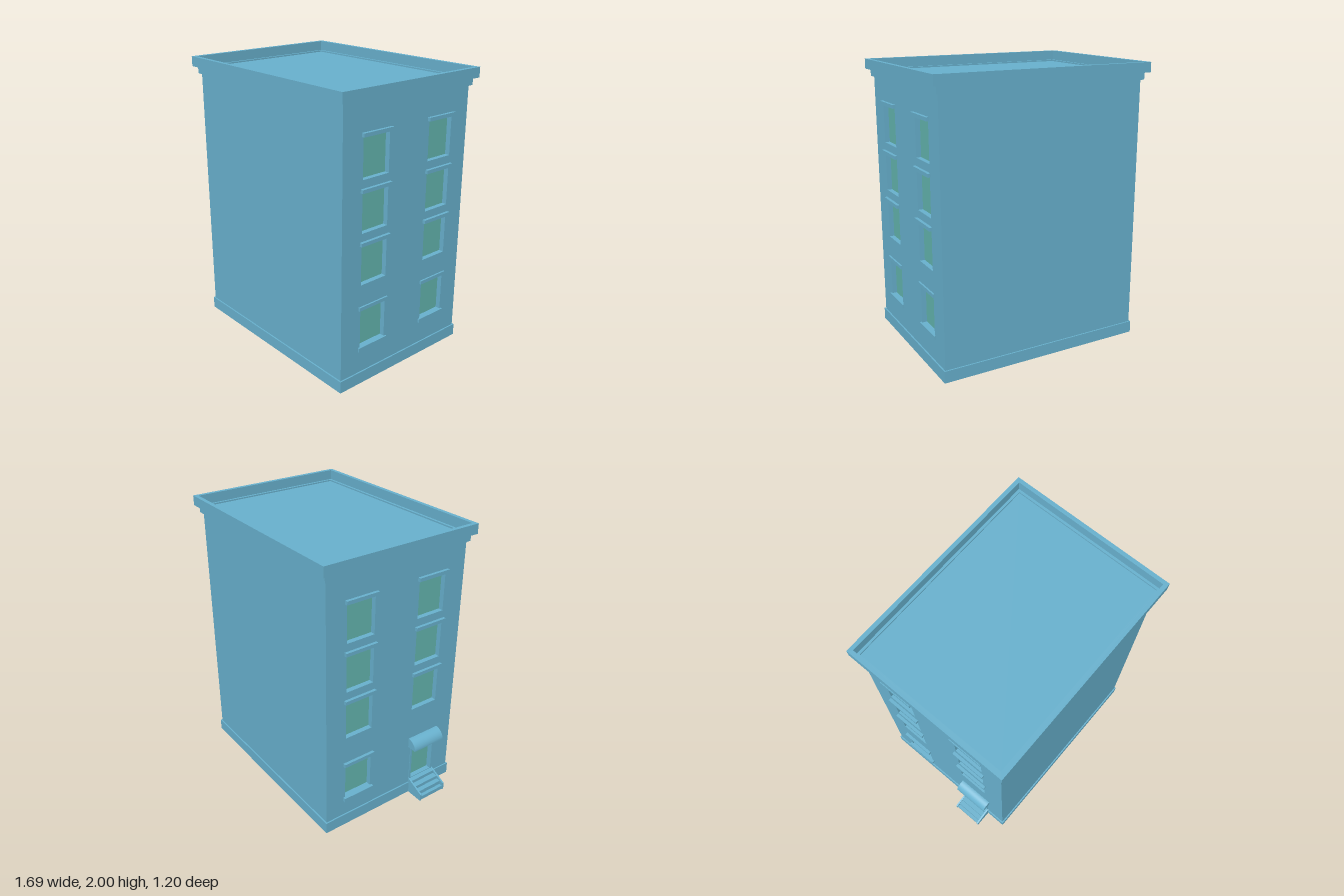
import * as THREE from 'three';

const X0 = -0.705, X1 = 0.795, Z = 0.555, TOP = 1.92, RECESS = 0.035;

export function createModel() {
  const model = new THREE.Group();
  model.name = 'townBuilding';
  const wall = new THREE.MeshStandardMaterial({ color: 0x68b1ce, side: THREE.DoubleSide });
  wall.name = 'blueWall';
  const glass = new THREE.MeshStandardMaterial({ color: 0x63b5ae, side: THREE.DoubleSide });
  glass.name = 'greenGlass';

  const add = (name, geometry, material = wall) => {
    const mesh = new THREE.Mesh(geometry, material);
    mesh.name = name;
    model.add(mesh);
    return mesh;
  };
  // Box given by its limits on each axis
  const box = (name, x0, x1, y0, y1, z0, z1, material) => {
    const mesh = add(name, new THREE.BoxGeometry(Math.abs(x1 - x0), y1 - y0, z1 - z0), material);
    mesh.position.set((x0 + x1) / 2, (y0 + y1) / 2, (z0 + z1) / 2);
    return mesh;
  };
  const rect = (T, x0, x1, y0, y1) => {
    const p = new T();
    p.moveTo(x0, y0).lineTo(x1, y0).lineTo(x1, y1).lineTo(x0, y1).closePath();
    return p;
  };
  // Rectangular band around the building; outer and inner are offsets from the walls
  const band = (name, outer, inner, y0, y1) => {
    const shape = rect(THREE.Shape, X0 - outer, X1 + outer, -Z - outer, Z + outer);
    shape.holes.push(rect(THREE.Path, X0 - inner, X1 + inner, -Z - inner, Z + inner));
    const g = new THREE.ExtrudeGeometry(shape, { depth: y1 - y0, bevelEnabled: false });
    g.rotateX(-Math.PI / 2).translate(0, y0, 0);
    add(name, g);
  };

  // Plain walls and flat roof
  for (const s of [1, -1]) {
    const g = new THREE.PlaneGeometry(X1 - X0, TOP);
    if (s < 0) g.rotateY(Math.PI);
    add(s > 0 ? 'frontWall' : 'backWall', g).position.set((X0 + X1) / 2, TOP / 2, s * Z);
  }
  const roof = new THREE.PlaneGeometry(X1 - X0, 2 * Z).rotateX(-Math.PI / 2);
  add('roof', roof).position.set((X0 + X1) / 2, TOP, 0);

  // Plinth and stepped cornice
  band('plinth', 0.01, 0, 0, 0.085);
  band('lowerCornice', 0.018, 0, 1.88, 1.93);
  band('upperCornice', 0.047, 0.018, 1.93, 2);

  // Opening: recessed pane with four reveals
  const opening = (name, x, s, o) => {
    const g = new THREE.BoxGeometry(o.z1 - o.z0, o.y1 - o.y0, RECESS);
    g.setIndex(Array.from(g.index.array).slice(0, 24));
    g.clearGroups();
    g.rotateY(Math.PI / 2);
    add(name + 'Reveal', g).position.set(x - s * RECESS / 2, (o.y0 + o.y1) / 2, (o.z0 + o.z1) / 2);
    const pane = new THREE.PlaneGeometry(o.z1 - o.z0, o.y1 - o.y0).rotateY(s * Math.PI / 2);
    add(name + 'Pane', pane, glass).position.set(x - s * RECESS, (o.y0 + o.y1) / 2, (o.z0 + o.z1) / 2);
  };

  // Window walls, one at each end
  const door = { z0: 0.195, z1: 0.39, y0: 0.115, y1: 0.41 };
  const columns = [[0.17, 0.39], [-0.4, -0.185]];
  const floors = [[1.43, 1.7], [1.08, 1.35], [0.725, 1]];
  for (const s of [1, -1]) {
    const x = s > 0 ? X1 : X0;
    const ground = s > 0 ? [0.27, 0.547] : [0.232, 0.502];
    const shape = rect(THREE.Shape, -Z, Z, 0, TOP);
    const cut = o => shape.holes.push(rect(THREE.Path, -o.z1, -o.z0, o.y0, o.y1));

    columns.forEach(([z0, z1], c) => {
      [...floors, ground].forEach(([y0, y1], f) => {
        const isGround = f === 3;
        if (isGround && s < 0 && c === 0) return; // the door takes this place
        const o = { z0, z1, y0, y1 };
        cut(o);
        opening('window', x, s, o);
        const out = x + s * (isGround && s > 0 ? 0.012 : 0.021);
        const inside = x - s * RECESS;
        box('lintel', inside, out, y1, y1 + 0.025, z0 - 0.016, z1 + 0.016);
        if (isGround) box('sill', inside, out, y0 - 0.026, y0 + 0.003, z0 - 0.016, z1 + 0.016);
      });
    });
    if (s < 0) {
      cut(door);
      opening('door', x, s, door);
    }
    add(s > 0 ? 'leftWall' : 'rightWall', new THREE.ShapeGeometry(shape).rotateY(Math.PI / 2)).position.x = x;
  }

  // Door frame
  for (const [z0, z1] of [[0.18, 0.195], [0.39, 0.405]])
    box('doorJamb', X0 - 0.006, X0, 0.115, 0.41, z0, z1);

  // Quarter-round canopy over the door
  const quarter = new THREE.Shape();
  quarter.moveTo(0, 0).lineTo(0, 0.073);
  quarter.absarc(0, 0, 0.073, Math.PI / 2, Math.PI, false);
  quarter.closePath();
  const canopy = new THREE.ExtrudeGeometry(quarter, { depth: 0.265, bevelEnabled: false, curveSegments: 12 });
  add('doorCanopy', canopy).position.set(X0, 0.41, 0.16);

  // Steps between sloping cheeks
  const cheek = new THREE.Shape();
  cheek.moveTo(-0.845, 0).lineTo(X0, 0).lineTo(X0, 0.12).lineTo(-0.845, 0.055).closePath();
  for (const z of [0.178, 0.398]) {
    const g = new THREE.ExtrudeGeometry(cheek, { depth: 0.012, bevelEnabled: false });
    add('stepCheek', g).position.z = z;
  }
  [[-0.84, 0.03], [-0.815, 0.06], [-0.78, 0.085]].forEach(([x, y]) =>
    box('step', x, X0, y - 0.03, y, 0.19, 0.398));
  box('doorstep', -0.74, X0, 0.085, 0.11, 0.19, 0.398);

  return model;
}
